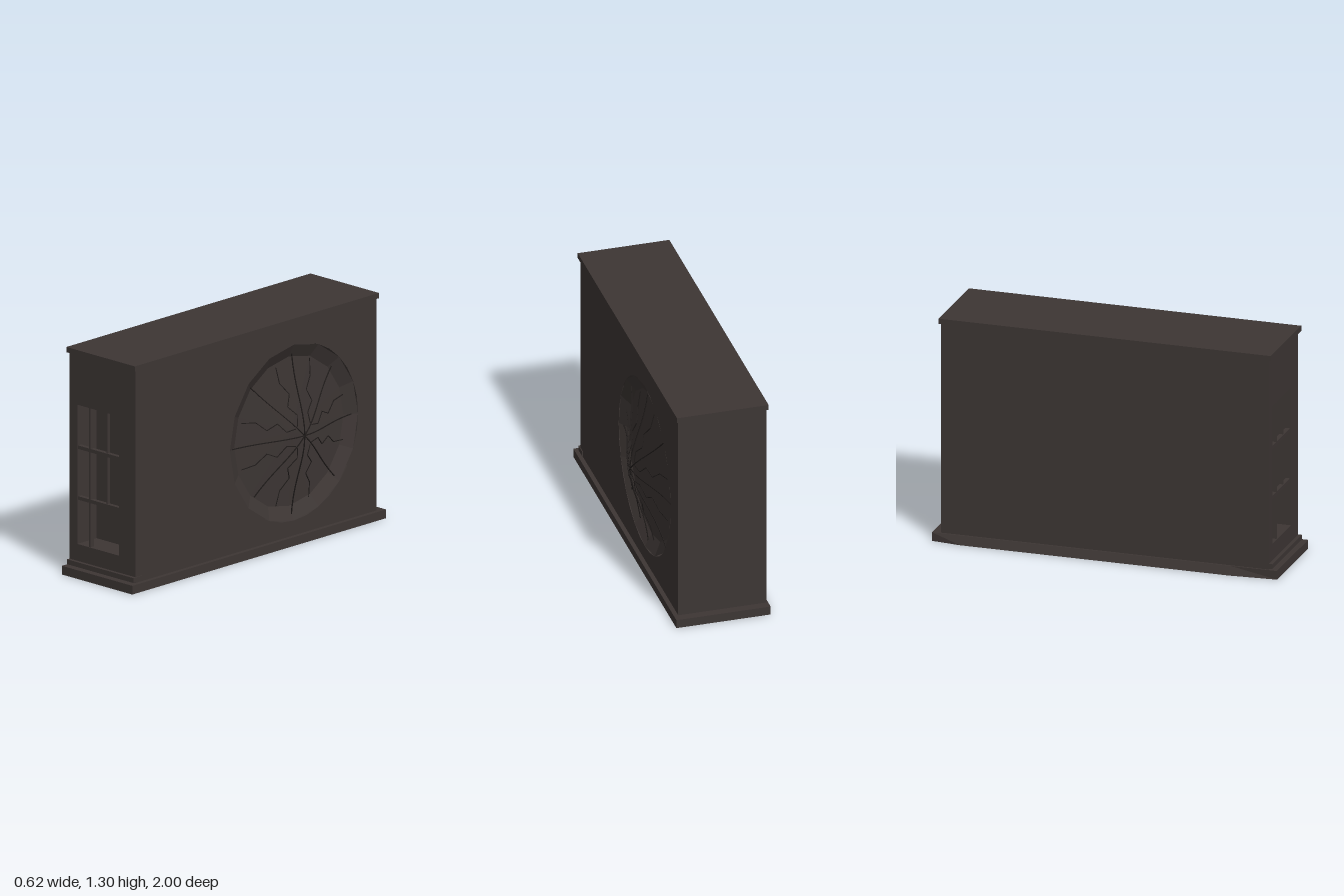
import * as THREE from 'three';

export function createModel() {
  const model = new THREE.Group();
  const stone = new THREE.MeshStandardMaterial({ color: 0x3d3634, side: THREE.DoubleSide });
  stone.name = 'dark stone';
  const lead = new THREE.MeshStandardMaterial({ color: 0x1f1b1a });
  lead.name = 'black lead';

  const add = (geo, name, mat = stone, parent = model) => {
    const mesh = new THREE.Mesh(geo, mat);
    mesh.name = name;
    parent.add(mesh);
    return mesh;
  };
  // box given by its minimum and maximum corners
  const block = (name, x0, x1, y0, y1, z0, z1) => add(
    new THREE.BoxGeometry(x1 - x0, y1 - y0, z1 - z0)
      .translate((x0 + x1) / 2, (y0 + y1) / 2, (z0 + z1) / 2), name);
  const rect = (T, x0, x1, y0, y1) => new T([[x0, y0], [x1, y0], [x1, y1], [x0, y1]]
    .map(p => new THREE.Vector2(...p)));

  // base slab, with its left edge bowed out and sloping in towards the top
  const plan = new THREE.Shape([[-0.29, -1], [0.25, -1], [0.25, 1], [-0.29, 1], [-0.31, 0.83], [-0.31, -0.73]]
    .map(p => new THREE.Vector2(...p)));
  const baseGeo = new THREE.ExtrudeGeometry(plan, { depth: 0.05, bevelEnabled: false }).rotateX(-Math.PI / 2);
  const pos = baseGeo.attributes.position;
  for (let i = 0; i < pos.count; i++)
    if (pos.getX(i) < -0.3 && pos.getY(i) > 0.02) pos.setX(i, -0.29);
  baseGeo.computeVertexNormals();
  add(baseGeo, 'base');

  // body core, skirting and roof
  block('bodyCore', -0.28, 0.155, 0.05, 1.27, -0.95, 0.8);
  block('frontSkirting', -0.28, 0.23, 0.055, 0.083, 0.9, 0.97);
  block('roof', -0.29, 0.235, 1.27, 1.3, -0.96, 0.965);

  // front wall with a window opening
  const front = rect(THREE.Shape, -0.28, 0.155, 0.05, 1.27);
  front.holes.push(rect(THREE.Path, -0.22, 0.1, 0.18, 0.98));
  add(new THREE.ExtrudeGeometry(front, { depth: 0.15, bevelEnabled: false }).translate(0, 0, 0.8), 'frontWall');

  // window bars
  block('windowPost', -0.137, -0.123, 0.18, 0.98, 0.92, 0.945);
  block('windowThinPost', -0.006, 0, 0.45, 0.98, 0.92, 0.94);
  for (const y of [0.443, 0.735]) block('windowBar', -0.22, 0.1, y - 0.01, y + 0.01, 0.92, 0.945);

  // side wall with a round opening
  const cy = 0.64, cz = -0.3, R = 0.505;
  const side = rect(THREE.Shape, -0.95, 0.95, 0.05, 1.27);
  side.holes.push(new THREE.Path().absarc(-cz, cy, R, 0, Math.PI * 2, true));
  add(new THREE.ExtrudeGeometry(side, { depth: 0.07, bevelEnabled: false, curveSegments: 16 })
    .rotateY(Math.PI / 2).translate(0.155, 0, 0), 'sideWall');

  // shallow faceted dish inside the round opening
  const dish = new THREE.LatheGeometry([[0, 0.2], [0.43, 0.185], [R, 0.224]]
    .map(p => new THREE.Vector2(...p)), 16).rotateZ(-Math.PI / 2).toNonIndexed();
  dish.computeVertexNormals();
  add(dish, 'roundRecess').position.set(0, cy, cz);

  // thin bulging web in front of the dish
  const web = new THREE.Group();
  web.name = 'web';
  model.add(web);
  // point on the bulge, angle measured from -z towards up
  const bulge = (r, deg) => {
    const a = THREE.MathUtils.degToRad(deg);
    return new THREE.Vector3(0.195 + 0.113 * Math.exp(-((r / 0.3) ** 2)),
      cy + r * Math.sin(a), cz - r * Math.cos(a));
  };
  const strand = (name, points, w) => {
    for (let i = 1; i < points.length; i++) {
      const a = points[i - 1], b = points[i];
      const m = add(new THREE.BoxGeometry(w, w, a.distanceTo(b)), name, lead, web);
      m.position.copy(a).lerp(b, 0.5);
      m.lookAt(b);
    }
  };
  // [angle, length] of the straight spokes
  const spokes = [[0, 0.5], [45, 0.44], [90, 0.45], [135, 0.46], [180, 0.49], [226, 0.43], [270, 0.49], [316, 0.48]];
  for (const [deg, len] of spokes)
    strand('spoke', Array.from({ length: 9 }, (_, i) => bulge(len * i / 8, deg)), 0.005);
  // jagged branches between the spokes
  for (const [i, [deg]] of spokes.entries()) {
    const s = i % 2 ? 1 : -1;
    strand('branch', [[0.08, 4], [0.13, 24], [0.2, 14], [0.25, 27], [0.33, 21], [0.42, 24]]
      .map(([r, d]) => bulge(r, deg + 22 + s * (d - 20))), 0.004);
  }
  return model;
}
